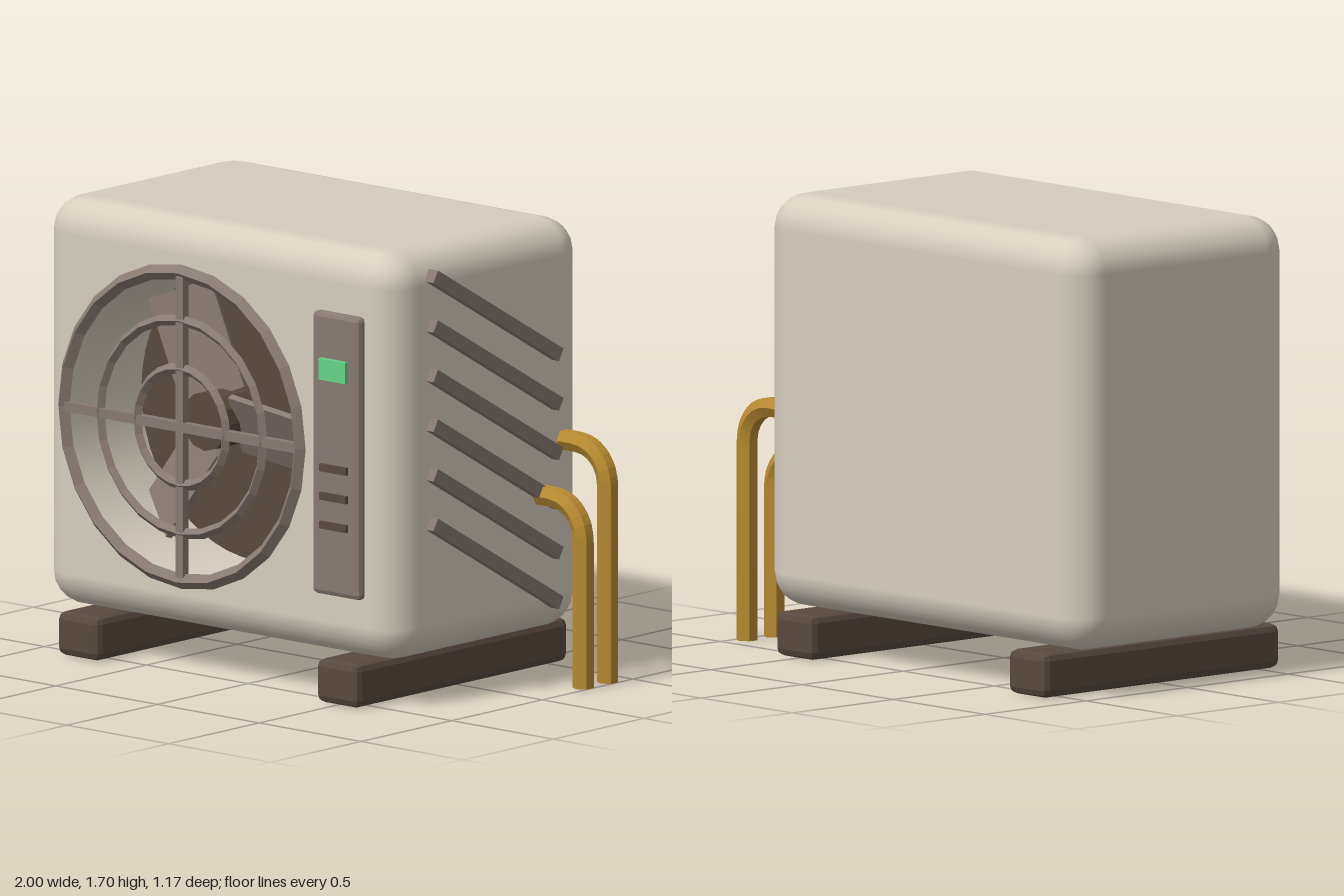
import * as THREE from 'three';
import { RoundedBoxGeometry } from 'three/addons/geometries/RoundedBoxGeometry.js';

export function createModel() {
  const model = new THREE.Group();
  model.name = 'outdoorCondenserUnit';

  const mat = (name, color, extra = {}) => {
    const m = new THREE.MeshStandardMaterial({ color, ...extra });
    m.name = name;
    return m;
  };
  const cream = mat('cream casing', 0xd6cebf, { side: THREE.DoubleSide });
  const taupe = mat('taupe plastic', 0x887a72);
  const dark = mat('dark brown', 0x584a3f);
  const brass = mat('brass pipe', 0xb98b32);
  const green = mat('green display', 0x66d486);

  const add = (name, geometry, material, x = 0, y = 0, z = 0, parent = model) => {
    const mesh = new THREE.Mesh(geometry, material);
    mesh.name = name;
    mesh.position.set(x, y, z);
    parent.add(mesh);
    return mesh;
  };
  const flat = (geometry) => {
    const g = geometry.index ? geometry.toNonIndexed() : geometry;
    g.computeVertexNormals();
    return g;
  };
  const chamferBox = (w, h, d, r) => flat(new RoundedBoxGeometry(w, h, d, 1, r));

  // Casing: rounded box whose flat front is swapped for a plate with a fan opening
  const W = 1.75, H = 1.535, D = 1.06, R = 0.13;
  const bodyX = -0.125, bodyY = 0.9325;
  const fanX = -0.285, fanY = 0.93, holeR = 0.567, depth = 0.4;

  const shell = new RoundedBoxGeometry(W, H, D, 2, R);
  const pos = shell.attributes.position;
  const keep = [];
  for (let i = 0; i < pos.count; i += 3) {
    const onFront = [0, 1, 2].every((k) => pos.getZ(i + k) > D / 2 - 1e-4);
    if (!onFront) keep.push(i, i + 1, i + 2);
  }
  shell.clearGroups();
  shell.setIndex(keep);
  add('casing', shell, cream, bodyX, bodyY, 0);

  const hw = W / 2 - R, hh = H / 2 - R;
  const plate = new THREE.Shape([
    new THREE.Vector2(-hw, -hh), new THREE.Vector2(hw, -hh),
    new THREE.Vector2(hw, hh), new THREE.Vector2(-hw, hh),
  ]);
  plate.holes.push(new THREE.Path().absarc(fanX - bodyX, fanY - bodyY, holeR, 0, Math.PI * 2, true));
  add('frontPlate', new THREE.ShapeGeometry(plate, 24), cream, bodyX, bodyY, D / 2);

  // Fan well
  const fan = new THREE.Group();
  fan.name = 'fanAssembly';
  fan.position.set(fanX, fanY, D / 2);
  model.add(fan);
  const wall = new THREE.CylinderGeometry(holeR, holeR, depth, 48, 1, true).rotateX(Math.PI / 2);
  add('wellWall', wall, cream, 0, 0, -depth / 2, fan);
  add('wellBack', new THREE.CircleGeometry(holeR, 48), dark, 0, 0, -depth + 0.002, fan);

  // Hub and three pitched blades
  const rotor = new THREE.Group();
  rotor.name = 'rotor';
  rotor.position.z = -0.2;
  fan.add(rotor);
  add('hub', flat(new THREE.CylinderGeometry(0.11, 0.11, 0.18, 12).rotateX(Math.PI / 2)), dark, 0, 0, 0, rotor);
  for (let i = 0; i < 3; i++) {
    const arm = new THREE.Group();
    arm.name = 'bladeArm';
    arm.rotation.z = THREE.MathUtils.degToRad(-6.5 + i * 120);
    rotor.add(arm);
    const blade = add('blade', new THREE.BoxGeometry(0.42, 0.25, 0.025), taupe, 0.29, 0, 0, arm);
    blade.rotation.x = 0.45;
  }

  // Guard: concentric rings and a cross
  for (const [radius, tube] of [[0.58, 0.028], [0.4, 0.02], [0.218, 0.02]]) {
    add('guardRing', flat(new THREE.TorusGeometry(radius, tube, 4, 24)), taupe, 0, 0, 0.015, fan);
  }
  add('guardBar', new THREE.BoxGeometry(1.15, 0.036, 0.03), taupe, 0, 0, 0.015, fan);
  add('guardBar', new THREE.BoxGeometry(0.036, 1.15, 0.03), taupe, 0, 0, 0.015, fan);

  // Control panel with display and buttons
  add('controlPanel', chamferBox(0.235, 1.06, 0.06, 0.018), taupe, 0.4825, 0.93, 0.53);
  add('display', new THREE.BoxGeometry(0.13, 0.08, 0.03), green, 0.48, 1.25, 0.563);
  for (const y of [0.88, 0.773, 0.665]) {
    add('button', new THREE.BoxGeometry(0.13, 0.028, 0.02), dark, 0.48, y, 0.564);
  }

  // Slanted louvres on the left side
  for (let i = 0; i < 6; i++) {
    const louvre = add('louvre', new THREE.BoxGeometry(0.045, 0.05, 0.8), taupe, 0.763, 1.41 - i * 0.186, 0);
    louvre.rotation.x = -Math.PI / 6;
  }

  // Six-sided pipes that leave the casing and bend to the ground
  const pipe = (y, z) => {
    const x = 0.965, bend = 0.14, r = 0.04;
    const v = (a, b) => new THREE.Vector3(a, b, 0);
    const pts = [v(0.7, y), v(x - bend, y)];
    for (let i = 1; i <= 5; i++) {
      const a = (i / 5) * Math.PI / 2;
      pts.push(v(x - bend + Math.sin(a) * bend, y - bend + Math.cos(a) * bend));
    }
    pts.push(v(x, 0));
    const path = new THREE.CurvePath();
    for (let i = 1; i < pts.length; i++) path.add(new THREE.LineCurve3(pts[i - 1], pts[i]));
    add('pipe', flat(new THREE.TubeGeometry(path, 48, r, 6, false)), brass, 0, 0, z);
    const cap = new THREE.CircleGeometry(r, 6, Math.PI / 2).rotateX(Math.PI / 2);
    add('pipeEnd', cap, brass, x, 0, z);
  };
  pipe(0.88, -0.4);
  pipe(0.695, -0.265);

  // Feet
  for (const x of [-0.765, 0.508]) {
    add('foot', chamferBox(0.206, 0.165, 1.17, 0.028), dark, x, 0.0825, 0);
  }

  return model;
}
